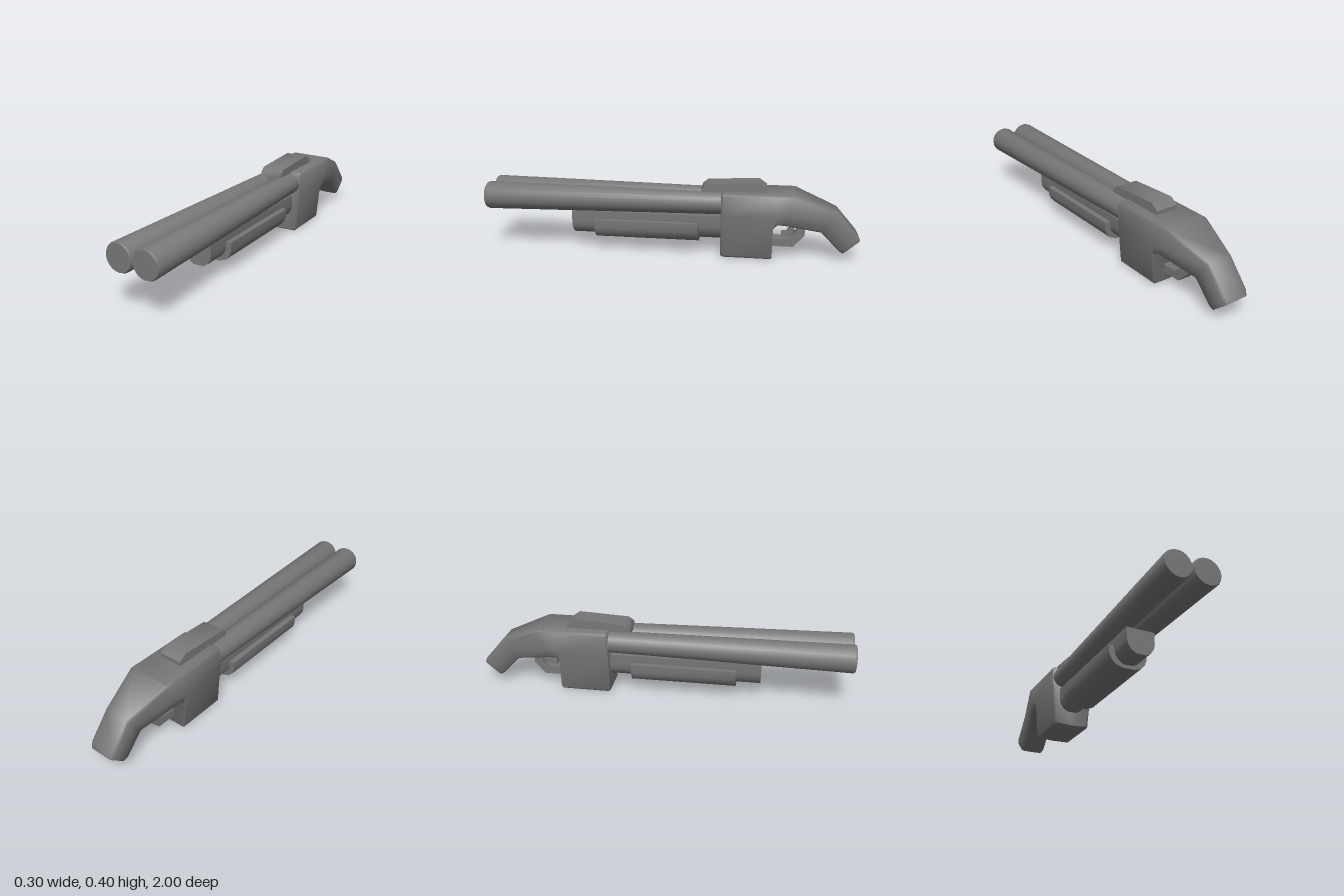
import * as THREE from 'three';
import { toCreasedNormals } from 'three/addons/utils/BufferGeometryUtils.js';

const material = new THREE.MeshStandardMaterial({ color: 0x777777 });

// Soft shading across bends up to about 50 degrees, sharp beyond
function addMesh(parent, name, geometry) {
  const mesh = new THREE.Mesh(toCreasedNormals(geometry, 0.9), material);
  mesh.name = name;
  parent.add(mesh);
}

function shapeOf(points) {
  return new THREE.Shape(points.map(([x, y]) => new THREE.Vector2(x, y)));
}

// Side outline in [z, y], extruded across x to the given half width
function sideExtrude(points, half) {
  const g = new THREE.ExtrudeGeometry(shapeOf(points), { depth: half * 2, bevelEnabled: false });
  return g.translate(0, 0, -half).rotateY(-Math.PI / 2);
}

// Trough-shaped section in [x, y]: right half listed top to bottom, mirrored, run along z
function trough(half, z0, z1) {
  const left = half.map(([x, y]) => [-x, y]);
  const shape = shapeOf([...left, ...half.slice().reverse()]);
  return new THREE.ExtrudeGeometry(shape, { depth: z1 - z0, bevelEnabled: false }).translate(0, 0, z0);
}

// Bevelled cross-section of the stock, from a bottom to a top point
function stockRing({ top, bottom, w, wb, mid = 0.5 }) {
  const [zt, yt] = top, [zb, yb] = bottom, b = 0.011;
  const t = b / Math.hypot(zt - zb, yt - yb);
  const right = [[wb - b, 0], [wb, t], [w, mid], [w, 1 - t], [w - b, 1]];
  const left = right.map(([x, s]) => [-x, s]).reverse();
  return [[0, -0.008], ...right, ...left].map(([x, s]) =>
    [x, yb + (yt - yb) * s, zb + (zt - zb) * s]);
}

// Closed skin through rings that run from front to back
function loft(rings) {
  const n = rings[0].length, index = [], last = (rings.length - 1) * n;
  for (let i = 0; i < rings.length - 1; i++) {
    for (let j = 0; j < n; j++) {
      const a = i * n + j, b = i * n + (j + 1) % n;
      index.push(a, a + n, b + n, a, b + n, b);
    }
  }
  for (let j = 1; j < n - 1; j++) {
    index.push(0, j, j + 1, last, last + j + 1, last + j);
  }
  const g = new THREE.BufferGeometry();
  g.setAttribute('position', new THREE.Float32BufferAttribute(rings.flat(2), 3));
  g.setIndex(index);
  return g;
}

// Barrel that widens to the muzzle; shifted so the pair always touches at x = 0
function barrel(side) {
  const rear = 0.058, front = 0.074, z0 = -0.32, z1 = 1;
  const profile = [[0, z0], [rear, z0], [front, z1 - 0.012], [front - 0.005, z1 - 0.002], [0, z1]];
  const g = new THREE.LatheGeometry(profile.map(([r, z]) => new THREE.Vector2(r, z)), 20);
  g.rotateX(Math.PI / 2);
  const p = g.attributes.position;
  for (let i = 0; i < p.count; i++) {
    const k = (p.getZ(i) - z0) / (z1 - z0);
    p.setXYZ(i, p.getX(i) + side * (rear + (front - rear) * k), p.getY(i) + 0.29, p.getZ(i));
  }
  return g;
}

export function createModel() {
  const model = new THREE.Group();
  model.name = 'shotgun';

  // Twin barrels
  addMesh(model, 'leftBarrel', barrel(1));
  addMesh(model, 'rightBarrel', barrel(-1));

  // Receiver flowing into the bent grip
  const sections = [
    { top: [-0.28, 0.347], bottom: [-0.28, 0.01], w: 0.114, wb: 0.094, mid: 0.67 },
    { top: [-0.29, 0.355], bottom: [-0.29, 0.003], w: 0.122, wb: 0.1008, mid: 0.67 },
    { top: [-0.545, 0.355], bottom: [-0.545, 0.003], w: 0.122, wb: 0.1008, mid: 0.67 },
    { top: [-0.547, 0.355], bottom: [-0.551, 0.012], w: 0.122, wb: 0.1016, mid: 0.6618 },
    { top: [-0.55, 0.355], bottom: [-0.552, 0.175], w: 0.122, wb: 0.117, mid: 0.3556 },
    { top: [-0.58, 0.355], bottom: [-0.572, 0.195], w: 0.122, wb: 0.1189, mid: 0.275 },
    { top: [-0.66, 0.355], bottom: [-0.605, 0.196], w: 0.122, wb: 0.119, mid: 0.3 },
    { top: [-0.878, 0.267], bottom: [-0.80, 0.153], w: 0.074, wb: 0.072 },
    { top: [-0.985, 0.144], bottom: [-0.895, 0.057], w: 0.074, wb: 0.072 },
    { top: [-1.0, 0.118], bottom: [-0.914, 0.042], w: 0.067, wb: 0.065 },
  ];
  addMesh(model, 'receiverAndGrip', loft(sections.map(stockRing)));

  // Raised block on top of the receiver
  addMesh(model, 'topBlock', sideExtrude([
    [-0.17, 0.33], [-0.17, 0.368], [-0.197, 0.39], [-0.47, 0.404], [-0.512, 0.375], [-0.512, 0.33],
  ], 0.062));

  // Magazine under the barrels and the sliding fore-end around it
  addMesh(model, 'magazine', trough(
    [[0.076, 0.22], [0.076, 0.16], [0.071, 0.131], [0.054, 0.105], [0.028, 0.088]], -0.3, 0.53));
  addMesh(model, 'foreEnd', trough(
    [[0.104, 0.18], [0.104, 0.135], [0.094, 0.108], [0.073, 0.084], [0.035, 0.069]], -0.16, 0.4));

  // Trigger guard and trigger
  addMesh(model, 'triggerGuard', sideExtrude([
    [-0.53, 0.06], [-0.66, 0.06], [-0.718, 0.125], [-0.718, 0.2],
    [-0.68, 0.2], [-0.675, 0.135], [-0.63, 0.1], [-0.53, 0.1],
  ], 0.04));
  addMesh(model, 'trigger', sideExtrude([
    [-0.597, 0.114], [-0.627, 0.114], [-0.662, 0.145], [-0.674, 0.2],
    [-0.642, 0.2], [-0.642, 0.158], [-0.62, 0.133], [-0.597, 0.131],
  ], 0.02));

  return model;
}
